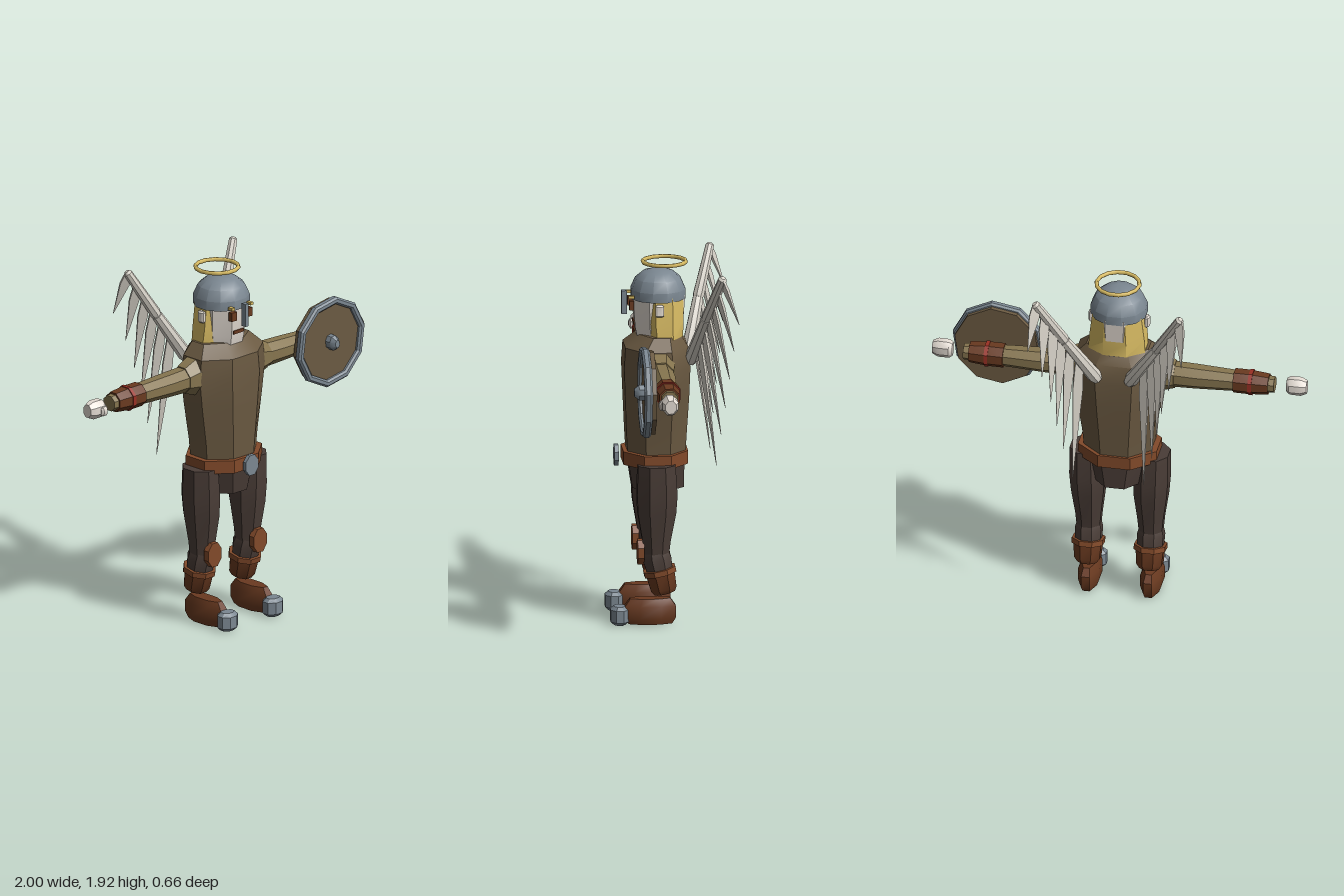
import * as THREE from 'three';
import { toCreasedNormals } from 'three/addons/utils/BufferGeometryUtils.js';

const V = (x, y, z) => new THREE.Vector3(x, y, z);

function paint(name, hex) {
  const m = new THREE.MeshStandardMaterial({ color: hex });
  m.name = name;
  return m;
}

// Closed stack of polygon sections [y, halfWidth, halfDepth, cx, cz] with flat sides facing the axes.
function loft(sections, sides = 8) {
  const pos = [], idx = [], k = 1 / Math.cos(Math.PI / sides);
  for (const [y, rx, rz, cx = 0, cz = 0] of sections) {
    for (let i = 0; i < sides; i++) {
      const a = (i + 0.5) / sides * Math.PI * 2;
      pos.push(cx + Math.sin(a) * rx * k, y, cz + Math.cos(a) * rz * k);
    }
  }
  const last = (sections.length - 1) * sides;
  for (let s = 0; s < last; s += sides) {
    for (let i = 0; i < sides; i++) {
      const j = (i + 1) % sides;
      idx.push(s + i, s + j, s + sides + j, s + i, s + sides + j, s + sides + i);
    }
  }
  for (let i = 1; i < sides - 1; i++) {
    idx.push(0, i + 1, i, last, last + i, last + i + 1);
  }
  const g = new THREE.BufferGeometry();
  g.setAttribute('position', new THREE.Float32BufferAttribute(pos, 3));
  g.setIndex(idx);
  return toCreasedNormals(g, 0.6);
}

// Block with cut corners; its middle is at the origin.
function block(w, h, d, cut) {
  const a = w / 2, b = h / 2, c = d / 2;
  return loft([[-b, a - cut, c - cut], [-b + cut, a, c], [b - cut, a, c], [b, a - cut, c - cut]]);
}

// Flat plate with an eight-cornered outline, facing z.
const plate = (w, h, d) => loft([[-d / 2, w / 2, h / 2], [d / 2, w / 2, h / 2]]).rotateX(Math.PI / 2);

export function createModel() {
  const root = new THREE.Group();
  root.name = 'wingedWarrior';
  const tunic = paint('tunic brown', 0x6b5a42), sleeve = paint('sleeve khaki', 0x86754f);
  const trousers = paint('trouser brown', 0x4a3d37), leather = paint('dark leather', 0x6a3a20);
  const tan = paint('belt leather', 0x824a2a), steel = paint('steel', 0x7b8791);
  const skin = paint('pale skin', 0xe4dcd3), gold = paint('gold', 0xdabd64);
  const feather = paint('feather white', 0xd6d1c7), red = paint('red', 0x9a3024);

  function add(name, geo, mat, x = 0, y = 0, z = 0, parent = root) {
    const m = new THREE.Mesh(geo, mat);
    m.name = name;
    m.position.set(x, y, z);
    parent.add(m);
    return m;
  }

  // Body
  add('torso', loft([
    [0.86, 0.175, 0.15, 0, 0.08], [1.0, 0.188, 0.158, 0, 0.08], [1.2, 0.218, 0.168, 0, 0.078],
    [1.36, 0.238, 0.174, 0, 0.078], [1.47, 0.225, 0.165, 0, 0.08], [1.535, 0.165, 0.105, 0, 0.06]]), tunic);
  add('belt', loft([[0.84, 0.21, 0.17, 0, 0.085], [0.91, 0.21, 0.17, 0, 0.085]]), tan);
  add('buckle', plate(0.09, 0.11, 0.022), steel, 0, 0.875, 0.287);
  add('hips', loft([[0.705, 0.125, 0.135, 0, 0.07], [0.85, 0.17, 0.147, 0, 0.08]]), trousers);

  // Head
  add('head', loft([[1.5, 0.1, 0.115, 0, 0.06], [1.57, 0.112, 0.125, 0, 0.065],
    [1.74, 0.12, 0.138, 0, 0.065]]), skin);
  add('hair', loft([[1.52, 0.152, 0.1, 0, 0.04], [1.6, 0.147, 0.108, 0, 0.045],
    [1.74, 0.13, 0.108, 0, 0.045]]), gold);
  add('helmet', loft([[1.72, 0.146, 0.142, 0, 0.066], [1.77, 0.146, 0.142, 0, 0.066],
    [1.825, 0.122, 0.118, 0, 0.066], [1.86, 0.08, 0.078, 0, 0.066], [1.872, 0.035, 0.035, 0, 0.066]], 12), steel);
  add('noseGuard', new THREE.BoxGeometry(0.024, 0.125, 0.028), steel, 0, 1.697, 0.245);
  add('mouth', new THREE.BoxGeometry(0.075, 0.018, 0.009), leather, 0, 1.593, 0.194);
  const halo = add('halo', new THREE.TorusGeometry(0.114, 0.011, 6, 14), gold, 0, 1.912, 0.033);
  halo.rotation.x = Math.PI / 2;

  for (const s of [1, -1]) {
    const side = s > 0 ? 'left' : 'right';
    const put = (name, geo, mat, x, y, z, parent) => add(side + name, geo, mat, s * x, y, z, parent);

    // Face details
    put('Eye', new THREE.BoxGeometry(0.036, 0.048, 0.025), leather, 0.056, 1.692, 0.21);
    put('HelmetStud', new THREE.BoxGeometry(0.02, 0.015, 0.03), gold, 0.068, 1.737, 0.212);
    put('Ear', block(0.03, 0.065, 0.045, 0.008), skin, 0.148, 1.678, 0.07);

    // Arm, stretched out along x
    const arm = new THREE.Group();
    arm.name = side + 'Arm';
    arm.position.set(0, 1.365, 0.075);
    arm.rotation.z = -s * Math.PI / 2;
    root.add(arm);
    add('shoulder', loft([[0.18, 0.1, 0.085, -s * 0.01], [0.235, 0.095, 0.078, -s * 0.005],
      [0.3, 0.07, 0.066]]), sleeve, 0, 0, 0, arm);
    add('sleeve', loft([[0.25, 0.066, 0.062], [0.42, 0.06, 0.064], [0.6, 0.053, 0.054],
      [0.83, 0.04, 0.042]]), sleeve, 0, 0, 0, arm);
    add('bracer', loft([[0.615, 0.06, 0.062], [0.7, 0.06, 0.062], [0.8, 0.051, 0.053]]), leather, 0, 0, 0, arm);
    add('bracerRing', loft([[0.695, 0.064, 0.066], [0.715, 0.064, 0.066]]), red, 0, 0, 0, arm);
    add('hand', loft([[0.893, 0.036, 0.03], [0.91, 0.047, 0.042], [0.97, 0.048, 0.042],
      [1.0, 0.035, 0.028]]), skin, 0, 0, 0.01, arm);
    add('thumb', block(0.05, 0.045, 0.03, 0.01), skin, s * 0.008, 0.918, 0.052, arm);

    // Leg
    put('Thigh', loft([[0.38, 0.062, 0.066, 0, 0.09], [0.45, 0.068, 0.074, 0, 0.09],
      [0.6, 0.087, 0.1, s * 0.002, 0.088], [0.7, 0.092, 0.106, s * 0.005, 0.087],
      [0.86, 0.086, 0.098, s * 0.01, 0.09]]), trousers, 0.166, 0, 0);
    put('KneePad', plate(0.095, 0.13, 0.035), tan, 0.166, 0.39, 0.172);
    const shin = new THREE.Group();
    shin.name = side + 'Shin';
    shin.position.set(s * 0.166, 0.285, 0.072);
    shin.rotation.x = 0.21;
    root.add(shin);
    add('calf', loft([[-0.02, 0.066, 0.066], [0.07, 0.07, 0.074], [0.12, 0.058, 0.06]]), trousers, 0, 0, 0, shin);
    add('bootShaft', loft([[-0.12, 0.052, 0.055], [-0.095, 0.068, 0.068], [0, 0.074, 0.076]]), leather, 0, 0, 0, shin);
    add('bootCuff', loft([[-0.015, 0.083, 0.084], [0.014, 0.083, 0.084]]), tan, 0, 0, 0, shin);

    // Foot
    put('Boot', loft([[0.004, 0.045, 0.115], [0.035, 0.055, 0.133], [0.1, 0.055, 0.133],
      [0.14, 0.038, 0.105]]), leather, 0.166, 0, 0.122);
    put('ToeCap', block(0.112, 0.1, 0.095, 0.018), steel, 0.166, 0.05, 0.283);

    // Wing: a bent bone with hanging blades
    const wing = new THREE.Group();
    wing.name = side + 'Wing';
    root.add(wing);
    const joints = [V(s * 0.09, 1.4, -0.1), V(s * 0.245, 1.65, -0.165), V(s * 0.385, 1.9, -0.24)];
    const across = V(s * 0.91, 0, -0.41);
    for (let i = 0; i < 2; i++) {
      const d = joints[i + 1].clone().sub(joints[i]), len = d.length();
      const r = 0.036 - i * 0.007;
      const bone = add('wingBone', loft([[-0.015, r * 0.7, r * 0.7], [0.02, r, r],
        [len, r * 0.75, r * 0.75], [len + 0.012, r * 0.4, r * 0.4]]), feather, 0, 0, 0, wing);
      bone.position.copy(joints[i]);
      bone.quaternion.setFromUnitVectors(V(0, 1, 0), d.normalize());
    }
    const tips = [[0.41, 1.66, -0.325], [0.338, 1.5, -0.305], [0.295, 1.34, -0.285],
      [0.267, 1.18, -0.265], [0.237, 1.03, -0.245], [0.19, 0.85, -0.225]];
    tips.forEach(([x, y, z], i) => {
      const t = 1.98 - i * 0.29, k = Math.min(1, Math.floor(t));
      const start = joints[k].clone().lerp(joints[k + 1], t - k);
      const dir = V(s * x, y, z).sub(start), len = dir.length();
      dir.normalize();
      const wide = across.clone().addScaledVector(dir, -across.dot(dir)).normalize();
      const blade = add('feather', loft([[0, 0.02, 0.006], [len * 0.25, 0.027, 0.007],
        [len, 0.001, 0.001]], 4), feather, 0, 0, 0, wing);
      blade.position.copy(start);
      blade.quaternion.setFromRotationMatrix(
        new THREE.Matrix4().makeBasis(wide, dir, wide.clone().cross(dir)));
    });
  }

  // Shield on the left forearm: ten-sided board, raised rim and boss
  const shield = new THREE.Group();
  shield.name = 'shield';
  shield.position.set(0.672, 1.37, 0);
  shield.rotation.z = THREE.MathUtils.degToRad(10);
  root.add(shield);
  const ring = (r) => Array.from({ length: 10 }, (_, i) =>
    new THREE.Vector2(Math.cos(i * Math.PI / 5) * r, Math.sin(i * Math.PI / 5) * r));
  const board = new THREE.Shape(ring(0.228));
  add('shieldBoard', new THREE.ExtrudeGeometry(board, { depth: 0.045, bevelEnabled: false }),
    tunic, 0, 0, 0.148, shield);
  const rim = new THREE.Shape(ring(0.235));
  rim.holes.push(new THREE.Path(ring(0.217)));
  add('shieldRim', new THREE.ExtrudeGeometry(rim, {
    depth: 0.022, bevelEnabled: true, bevelSize: 0.01, bevelThickness: 0.01, bevelSegments: 1 }),
    steel, 0, 0, 0.182, shield);
  const boss = add('shieldBoss', loft([[0, 0.032, 0.04], [0.035, 0.032, 0.04], [0.06, 0.015, 0.02]]),
    steel, 0, 0, 0.19, shield);
  boss.rotation.x = Math.PI / 2;

  return root;
}
